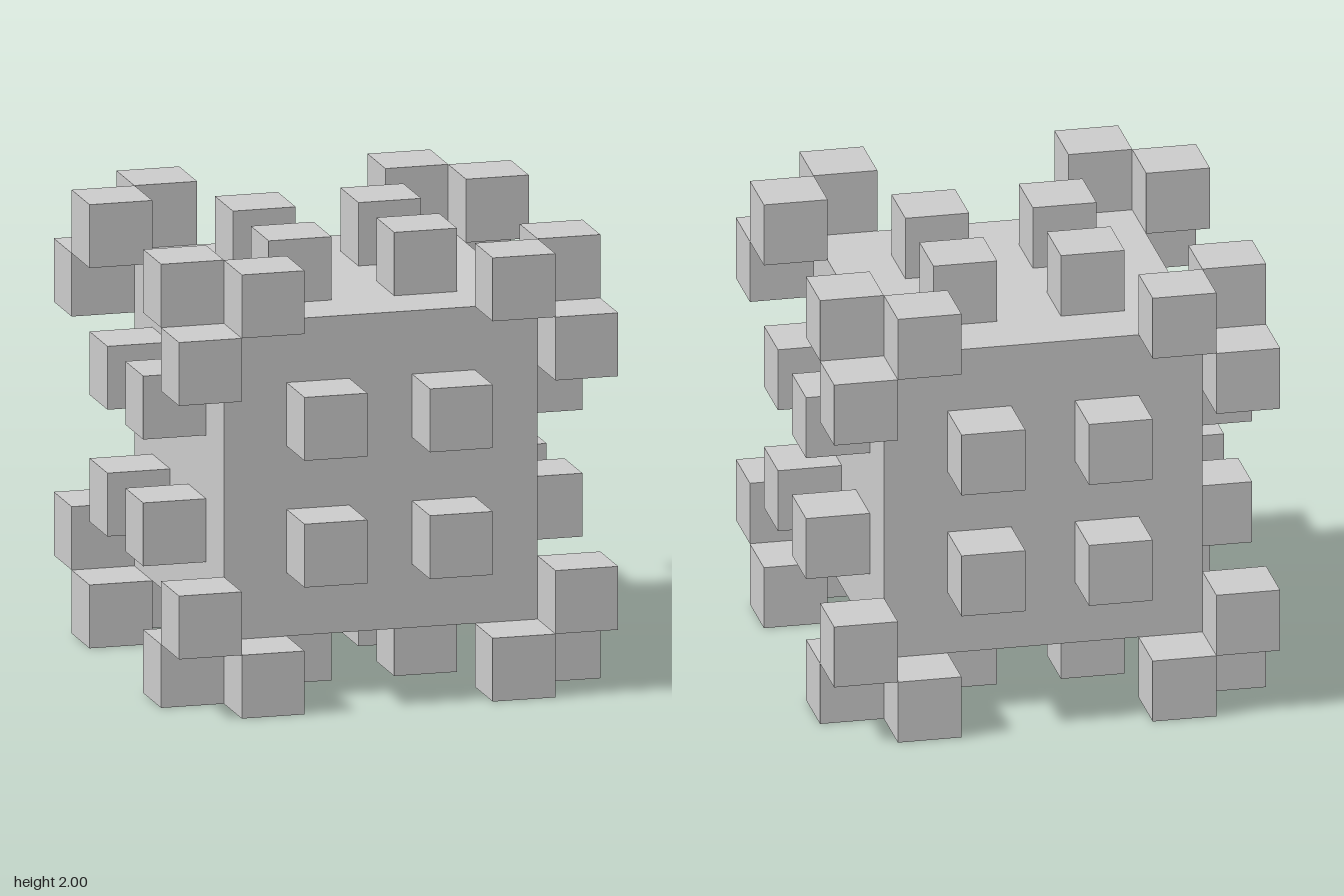
import * as THREE from 'three';

const U = 2 / 7; // the model sits on a 7 x 7 x 7 lattice

export function createModel() {
  const model = new THREE.Group();
  model.name = 'studdedCube';
  model.position.y = 1;
  const material = new THREE.MeshStandardMaterial({ color: 0xcccccc, flatShading: true });

  const core = new THREE.Mesh(new THREE.BoxGeometry(5 * U, 5 * U, 5 * U), material);
  core.name = 'core';
  model.add(core);

  const cubeGeometry = new THREE.BoxGeometry(U, U, U);
  const addCube = (parent, name, cell) => {
    const cube = new THREE.Mesh(cubeGeometry, material);
    cube.name = name;
    cube.position.set(...cell).multiplyScalar(U);
    parent.add(cube);
  };

  const faceStuds = new THREE.Group();
  faceStuds.name = 'faceStuds';
  const cornerClusters = new THREE.Group();
  cornerClusters.name = 'cornerClusters';
  model.add(faceStuds, cornerClusters);

  const signs = [-1, 1];
  for (const x of signs) for (const y of signs) for (const z of signs) {
    for (let axis = 0; axis < 3; axis++) {
      // one of the four studs on a face
      addCube(faceStuds, 'faceStud', [x, y, z].map((s, i) => s * (i === axis ? 3 : 1)));
      // one of the three cubes around a corner, touching the core along an edge
      addCube(cornerClusters, 'cornerCube', [x, y, z].map((s, i) => s * (i === axis ? 2 : 3)));
    }
  }

  // keep the group origin at ground level
  const root = new THREE.Group();
  root.name = 'model';
  root.add(model);
  return root;
}
